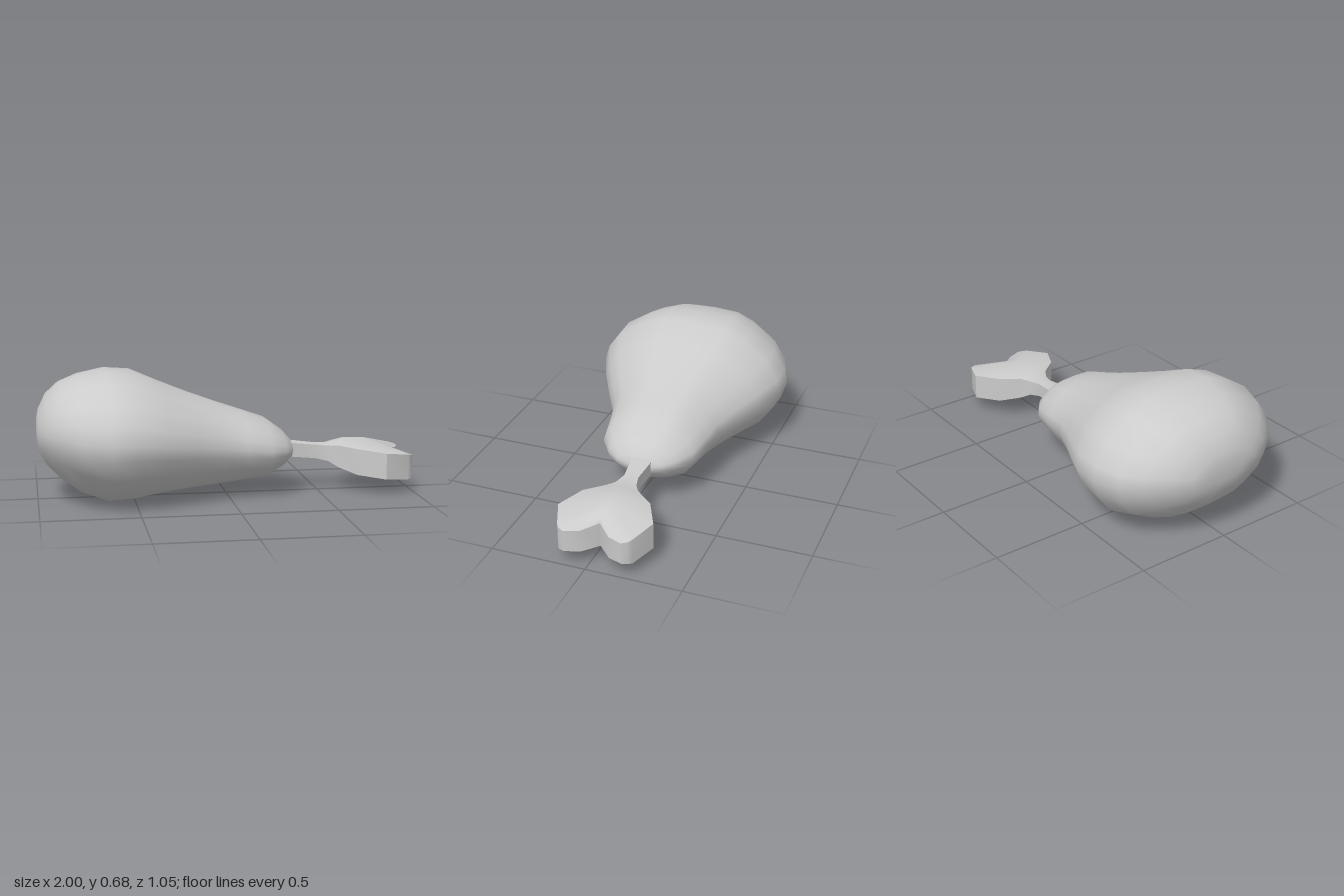
import * as THREE from 'three';
import { toCreasedNormals } from 'three/addons/utils/BufferGeometryUtils.js';

const material = new THREE.MeshStandardMaterial({ color: 0xcccccc });

function makeGeometry(positions, index) {
  const g = new THREE.BufferGeometry();
  g.setAttribute('position', new THREE.Float32BufferAttribute(positions, 3));
  if (index) g.setIndex(index);
  g.computeVertexNormals();
  return g;
}

// Meat: one rounded cross-section lofted along x
function meatGeometry() {
  // unit cross-section [z, y], running over the top from front to back
  const ring = [
    [0.95, 0.32], [0.82, 0.6], [0.55, 0.86], [0.31, 0.99], [-0.02, 1], [-0.36, 0.96], [-0.59, 0.8],
    [-0.84, 0.5], [-0.97, 0.18], [-1, -0.05], [-0.94, -0.33], [-0.8, -0.64], [-0.53, -0.86],
    [-0.3, -0.99], [0.03, -1], [0.36, -0.95], [0.57, -0.8], [0.85, -0.5], [0.97, -0.18], [1, 0.06],
  ];
  // x, top, bottom, back z, front z
  const sections = [
    [-1.0, 0.42, 0.32, -0.12, 0.11],
    [-0.99, 0.47, 0.26, -0.21, 0.19],
    [-0.95, 0.55, 0.19, -0.31, 0.29],
    [-0.88, 0.61, 0.12, -0.41, 0.38],
    [-0.78, 0.65, 0.05, -0.49, 0.47],
    [-0.64, 0.68, 0.0, -0.53, 0.52],
    [-0.5, 0.67, 0.01, -0.525, 0.515],
    [-0.35, 0.605, 0.035, -0.46, 0.45],
    [-0.2, 0.545, 0.05, -0.385, 0.37],
    [-0.05, 0.49, 0.06, -0.32, 0.285],
    [0.08, 0.445, 0.075, -0.3, 0.255],
    [0.21, 0.4, 0.09, -0.275, 0.23],
    [0.3, 0.335, 0.14, -0.21, 0.165],
    [0.345, 0.285, 0.18, -0.15, 0.1],
    [0.36, 0.25, 0.205, -0.09, 0.04],
  ];
  const n = ring.length, last = sections.length - 1;
  const pos = [], idx = [];
  for (const [x, top, bottom, back, front] of sections) {
    for (const [u, v] of ring) {
      pos.push(x, (top + bottom) / 2 + v * (top - bottom) / 2, (front + back) / 2 + u * (front - back) / 2);
    }
  }
  for (let i = 0; i < last; i++) {
    for (let j = 0; j < n; j++) {
      const a = i * n + j, b = i * n + (j + 1) % n;
      idx.push(a, a + n, b, b, a + n, b + n);
    }
  }
  // close both ends with a fan
  for (const i of [0, last]) {
    const [x, top, bottom, back, front] = sections[i];
    const c = pos.length / 3;
    pos.push(x, (top + bottom) / 2, (back + front) / 2);
    for (let j = 0; j < n; j++) {
      const a = i * n + j, b = i * n + (j + 1) % n;
      idx.push(...(i === 0 ? [c, a, b] : [c, b, a]));
    }
  }
  return makeGeometry(pos, idx);
}

// Bone: mirrored halves, each spanning from a centre ridge to a forked outline
function boneGeometry() {
  const zMid = -0.04;
  // rim x, half width, top, bottom | ridge x, top, bottom
  const stations = [
    [0.28, 0.055, 0.265, 0.19, 0.28, 0.275, 0.185],
    [0.36, 0.052, 0.26, 0.185, 0.36, 0.265, 0.18],
    [0.49, 0.038, 0.245, 0.17, 0.49, 0.252, 0.165],
    [0.56, 0.055, 0.24, 0.155, 0.57, 0.25, 0.15],
    [0.61, 0.085, 0.245, 0.125, 0.64, 0.265, 0.115],
    [0.69, 0.18, 0.24, 0.1, 0.71, 0.27, 0.09],
    [0.83, 0.25, 0.225, 0.085, 0.78, 0.265, 0.078],
    [0.965, 0.195, 0.205, 0.07, 0.82, 0.255, 0.075],
    [0.985, 0.18, 0.2, 0.075, 0.84, 0.245, 0.075],
    [1.0, 0.15, 0.195, 0.08, 0.86, 0.235, 0.075],
    [0.97, 0.075, 0.195, 0.075, 0.88, 0.225, 0.075],
    [0.895, 0, 0.21, 0.08, 0.895, 0.21, 0.08],
  ];
  const pos = [];
  for (const side of [1, -1]) {
    const quad = (a, b, c, d) => {
      for (const t of side > 0 ? [a, b, c, a, c, d] : [a, c, b, a, d, c]) pos.push(...t);
    };
    const corners = stations.map(([x, w, top, bottom, cx, cTop, cBottom]) => ({
      rimTop: [x, top, zMid + side * w], rimBottom: [x, bottom, zMid + side * w],
      midTop: [cx, cTop, zMid], midBottom: [cx, cBottom, zMid],
    }));
    for (let i = 0; i < corners.length - 1; i++) {
      const p = corners[i], q = corners[i + 1];
      quad(p.midTop, p.rimTop, q.rimTop, q.midTop);
      quad(p.rimTop, p.rimBottom, q.rimBottom, q.rimTop);
      quad(p.rimBottom, p.midBottom, q.midBottom, q.rimBottom);
    }
    const e = corners[0];
    quad(e.midTop, e.midBottom, e.rimBottom, e.rimTop);
  }
  return toCreasedNormals(makeGeometry(pos), 0.5);
}

export function createModel() {
  const group = new THREE.Group();
  group.name = 'drumstick';
  const meat = new THREE.Mesh(meatGeometry(), material);
  meat.name = 'meat';
  const bone = new THREE.Mesh(boneGeometry(), material);
  bone.name = 'bone';
  group.add(meat, bone);
  return group;
}
